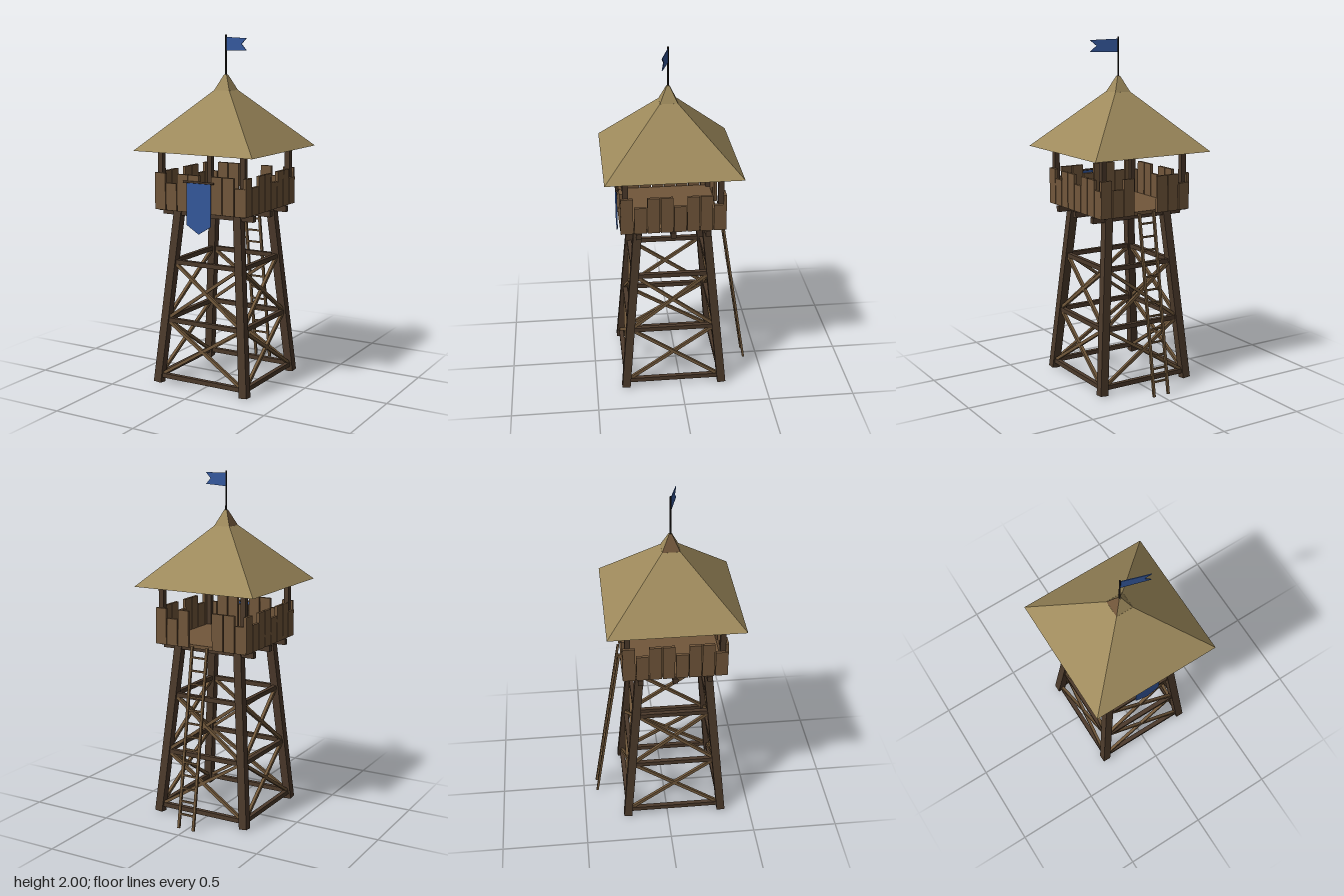
import * as THREE from 'three';

const mat = (name, color) => {
  const m = new THREE.MeshStandardMaterial({ color });
  m.name = name;
  return m;
};

export function createModel() {
  const darkWood = mat('dark wood', 0x4c3a2b);
  const plankWood = mat('plank wood', 0x72573b);
  const poleWood = mat('pole wood', 0x70573a);
  const thatch = mat('thatch', 0x9e8a5c);
  const cloth = mat('blue cloth', 0x34589c);
  const iron = mat('dark iron', 0x221e1c);

  const root = new THREE.Group();
  root.name = 'watchtower';
  const tower = new THREE.Group();
  tower.name = 'tower';
  tower.position.z = 0.042;
  root.add(tower);

  const add = (parent, name, geo, material, x = 0, y = 0, z = 0) => {
    const m = new THREE.Mesh(geo, material);
    m.name = name;
    m.position.set(x, y, z);
    parent.add(m);
    return m;
  };
  const box = (parent, name, material, w, h, d, x, y, z) =>
    add(parent, name, new THREE.BoxGeometry(w, h, d), material, x, y, z);

  // Square timber running from point a to point b
  const up = new THREE.Vector3(0, 1, 0);
  const beam = (parent, name, material, a, b, w, d = w) => {
    const p = new THREE.Vector3(...a), q = new THREE.Vector3(...b);
    const dir = q.clone().sub(p);
    const m = add(parent, name, new THREE.BoxGeometry(w, dir.length(), d), material);
    m.position.copy(p).add(q).multiplyScalar(0.5);
    m.quaternion.setFromUnitVectors(up, dir.normalize());
    return m;
  };

  // Half width of the tapering frame at height y
  const half = (y) => 0.285 - 0.09 * y;

  // Four sides: leg, cross beams, X braces, railing planks and roof post
  const pitch = 0.0738;
  for (let s = 0; s < 4; s++) {
    const side = new THREE.Group();
    side.name = 'side' + (s + 1);
    side.rotation.y = s * Math.PI / 2;
    tower.add(side);

    const b = half(0), t = half(1.02);
    beam(side, 'leg', darkWood, [b, 0.003, b], [t, 1.02, t], 0.048);

    for (const y of [0.045, 0.375, 0.715]) {
      const h = half(y);
      box(side, 'crossBeam', darkWood, 2 * h, 0.026, 0.026, 0, y, h);
    }
    for (const [y0, y1] of [[0.05, 0.37], [0.385, 0.71]]) {
      const h0 = half(y0), h1 = half(y1);
      for (const k of [-1, 1]) {
        beam(side, 'brace', poleWood, [-k * h0 * 0.95, y0, h0], [k * h1 * 0.95, y1, h1], 0.018);
      }
    }

    for (let i = 0; i < 8; i++) {
      if (s === 2 && (i === 3 || i === 4)) continue; // ladder opening
      const top = i % 3 === 1 ? 1.18 : 1.235;
      box(side, 'railingPlank', plankWood, 0.068, top - 1.025, 0.018,
        (i - 3.5) * pitch, (top + 1.025) / 2, 0.286);
    }
    box(side, 'roofPost', darkWood, 0.031, 0.35, 0.031, 0.265, 1.195, 0.265);
  }

  // Platform on three joists
  box(tower, 'floor', plankWood, 0.55, 0.02, 0.55, 0, 1.03, 0);
  for (const z of [-0.195, 0, 0.195]) {
    box(tower, 'joist', darkWood, 0.59, 0.034, 0.03, 0, 1.003, z);
  }

  // Four sided roof pieces; side faces run +x, -z, -x, +z
  const pyramid = (rTop, rBottom, h) => new THREE.CylinderGeometry(
    rTop * Math.SQRT2, rBottom * Math.SQRT2, h, 4, 1, false, Math.PI / 4);
  const flat = (geo) => {
    const g = geo.toNonIndexed();
    g.computeVertexNormals();
    return g;
  };
  add(tower, 'roof', flat(pyramid(0.05, 0.38, 0.33)), thatch, 0, 1.525, 0);
  const capGeo = pyramid(0.008, 0.05, 0.09);
  const total = capGeo.index.count;
  capGeo.clearGroups();
  capGeo.addGroup(0, 12, 0);
  capGeo.addGroup(12, 6, 1);
  capGeo.addGroup(18, total - 18, 0);
  add(tower, 'roofCap', flat(capGeo), [thatch, plankWood], 0, 1.734, 0);

  // Thin cloth cut from an outline
  const clothPiece = (points) => new THREE.ExtrudeGeometry(
    new THREE.Shape(points.map(([x, y]) => new THREE.Vector2(x, y))),
    { depth: 0.004, bevelEnabled: false }).translate(0, 0, -0.002);

  // Flagpole and swallow tailed flag
  add(tower, 'flagPole', new THREE.CylinderGeometry(0.005, 0.005, 0.25, 8), iron, 0, 1.875, 0);
  const flag = add(tower, 'flag', clothPiece(
    [[0, 1.912], [0.165, 1.916], [0.127, 1.95], [0.165, 1.982], [0, 1.988]]), cloth);
  flag.rotation.y = -0.29;

  // Banner hanging from a rod on the front railing
  add(tower, 'banner', clothPiece(
    [[-0.078, 1.198], [-0.078, 0.955], [0, 0.907], [0.078, 0.955], [0.078, 1.198]]),
  cloth, 0, 0, 0.302);
  add(tower, 'bannerRod', new THREE.CylinderGeometry(0.006, 0.006, 0.196, 8), darkWood, 0, 1.198, 0.302)
    .rotation.z = Math.PI / 2;

  // Ladder leaning on the back
  const ladder = new THREE.Group();
  ladder.name = 'ladder';
  root.add(ladder);
  const ladderZ = (y) => -0.417 + 0.155 * y;
  for (const x of [-0.048, 0.048]) {
    beam(ladder, 'ladderRail', poleWood, [x, 0.002, ladderZ(0)], [x, 1.035, ladderZ(1.035)], 0.015, 0.013);
  }
  for (let i = 0; i < 13; i++) {
    const y = 0.085 + 0.0742 * i;
    box(ladder, 'rung', poleWood, 0.09, 0.01, 0.01, 0, y, ladderZ(y));
  }
  return root;
}
